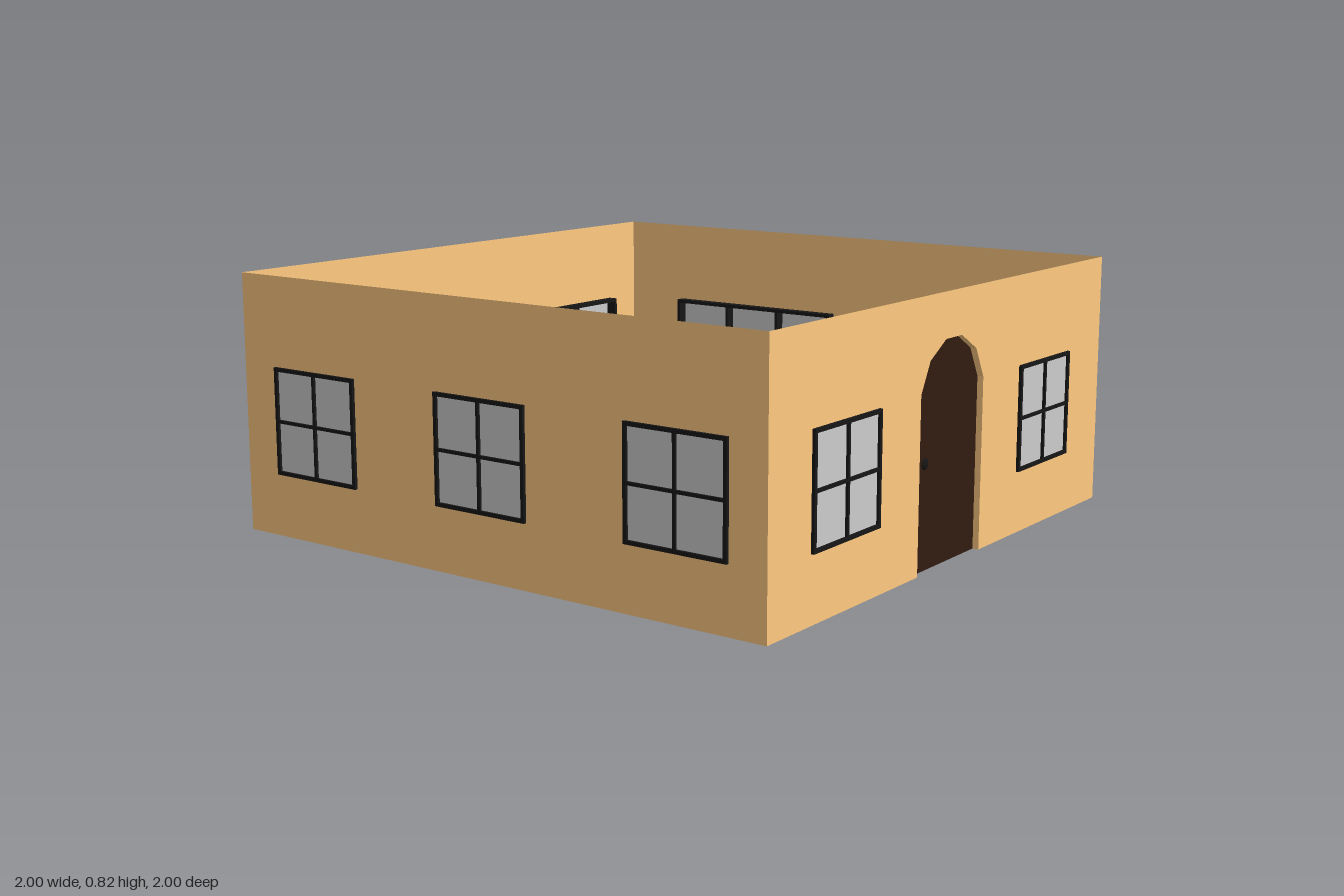
import * as THREE from 'three';

const HEIGHT = 0.825, HALF = 0.99;
const SILL = 0.2, HEAD = 0.54;
const DOOR_Z = 0.97;
const FRAME = 0.012, BAR = 0.01, FRAME_BACK = 0.955, FRAME_DEPTH = 0.045;

const wallMat = new THREE.MeshStandardMaterial({ color: 0xffc980, side: THREE.DoubleSide });
const glassMat = new THREE.MeshStandardMaterial({ color: 0xcccccc, side: THREE.DoubleSide });
const frameMat = new THREE.MeshStandardMaterial({ color: 0x161616 });
const doorMat = new THREE.MeshStandardMaterial({ color: 0x321c12, side: THREE.DoubleSide });

// Arched doorway outline, from the lower left corner over to the lower right
const doorway = [
  [-0.21, 0], [-0.21, 0.54], [-0.16, 0.633], [-0.07, 0.685],
  [0.025, 0.685], [0.117, 0.633], [0.167, 0.54], [0.167, 0],
].map(([x, y]) => new THREE.Vector2(x, y));

function add(group, name, geometry, material, z = 0) {
  const mesh = new THREE.Mesh(geometry, material);
  mesh.name = name;
  mesh.position.z = z;
  group.add(mesh);
  return mesh;
}

function rect(Type, x0, y0, x1, y1) {
  return new Type([[x0, y0], [x1, y0], [x1, y1], [x0, y1]].map(([x, y]) => new THREE.Vector2(x, y)));
}

// Deep frame with one opening per pane, and a sheet of glass near its outer face
function makeWindow({ at, width, columns }) {
  const group = new THREE.Group();
  group.name = 'window';
  const x0 = at - width / 2, x1 = at + width / 2;
  const frame = rect(THREE.Shape, x0, SILL, x1, HEAD);
  const rows = 2;
  const paneW = (width - 2 * FRAME - (columns - 1) * BAR) / columns;
  const paneH = (HEAD - SILL - 2 * FRAME - (rows - 1) * BAR) / rows;
  for (let c = 0; c < columns; c++) {
    for (let r = 0; r < rows; r++) {
      const x = x0 + FRAME + c * (paneW + BAR);
      const y = SILL + FRAME + r * (paneH + BAR);
      frame.holes.push(rect(THREE.Path, x, y, x + paneW, y + paneH));
    }
  }
  add(group, 'windowFrame', new THREE.ExtrudeGeometry(frame, { depth: FRAME_DEPTH, bevelEnabled: false }), frameMat, FRAME_BACK);
  const glass = rect(THREE.Shape, x0 + 0.004, SILL + 0.004, x1 - 0.004, HEAD - 0.004);
  add(group, 'glass', new THREE.ShapeGeometry(glass), glassMat, 0.992);
  return group;
}

// Recessed door leaf, the reveal around it and a round knob
function makeDoor() {
  const group = new THREE.Group();
  group.name = 'door';
  add(group, 'doorLeaf', new THREE.ShapeGeometry(new THREE.Shape(doorway)), doorMat, DOOR_Z);
  const positions = [];
  for (let i = 0; i < doorway.length - 1; i++) {
    const a = doorway[i], b = doorway[i + 1];
    const corners = [[a, DOOR_Z], [b, DOOR_Z], [b, HALF], [a, DOOR_Z], [b, HALF], [a, HALF]];
    for (const [p, z] of corners) positions.push(p.x, p.y, z);
  }
  const reveal = new THREE.BufferGeometry();
  reveal.setAttribute('position', new THREE.Float32BufferAttribute(positions, 3));
  reveal.computeVertexNormals();
  add(group, 'doorReveal', reveal, wallMat);
  const knob = add(group, 'doorKnob', new THREE.SphereGeometry(0.018, 16, 12), frameMat, DOOR_Z);
  knob.position.set(-0.146, 0.325, DOOR_Z);
  knob.scale.z = 0.45;
  return group;
}

// Thin wall facing +z with its openings cut out, turned to its side of the house
function makeWall({ name, turn, windows, hasDoor }) {
  const group = new THREE.Group();
  group.name = name;
  const outline = [new THREE.Vector2(-HALF, 0)];
  if (hasDoor) outline.push(...doorway);
  outline.push(new THREE.Vector2(HALF, 0), new THREE.Vector2(HALF, HEIGHT), new THREE.Vector2(-HALF, HEIGHT));
  const shape = new THREE.Shape(outline);
  for (const w of windows) {
    const half = w.width / 2 - 0.004;
    shape.holes.push(rect(THREE.Path, w.at - half, SILL + 0.004, w.at + half, HEAD - 0.004));
    group.add(makeWindow(w));
  }
  add(group, 'wallPanel', new THREE.ShapeGeometry(shape), wallMat, HALF);
  if (hasDoor) group.add(makeDoor());
  group.rotation.y = turn;
  return group;
}

export function createModel() {
  const model = new THREE.Group();
  model.name = 'houseWalls';
  const small = (at) => ({ at, width: 0.344, columns: 2 });
  const large = (at) => ({ at, width: 0.692, columns: 3 });
  const walls = [
    { name: 'frontWall', turn: 0, windows: [small(-0.612), small(0.577)], hasDoor: true },
    { name: 'leftWall', turn: Math.PI / 2, windows: [small(-0.61), large(0.403)] },
    { name: 'backWall', turn: Math.PI, windows: [large(0.494), large(-0.49)] },
    { name: 'rightWall', turn: -Math.PI / 2, windows: [small(-0.678), small(-0.002), small(0.696)] },
  ];
  for (const wall of walls) model.add(makeWall(wall));
  return model;
}
